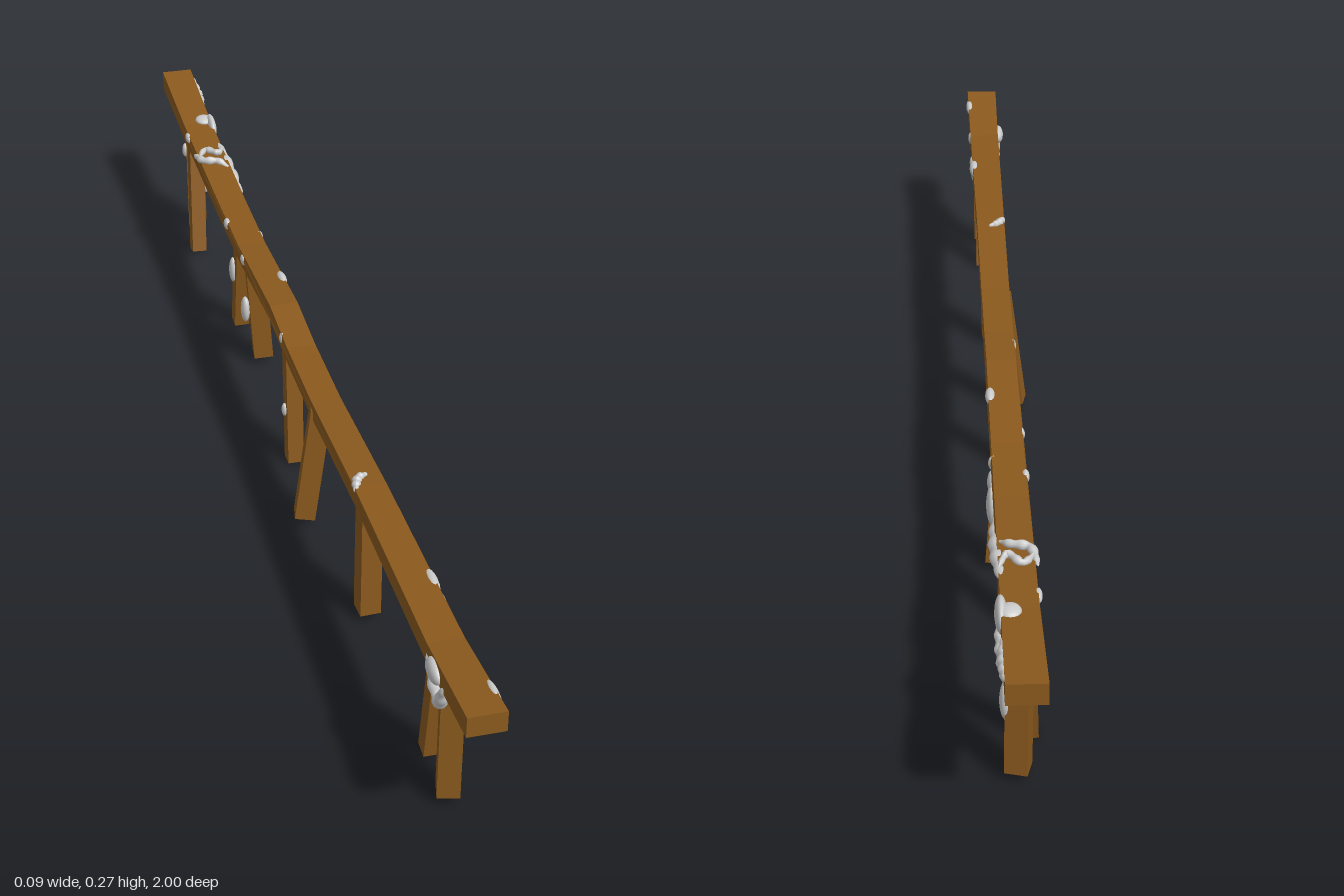
import * as THREE from 'three';

const V = (a) => new THREE.Vector3(...a);
const wood = new THREE.MeshStandardMaterial({ color: 0x8b5a1e, flatShading: true });
const grey = new THREE.MeshStandardMaterial({ color: 0xcccccc });

// Long sagging beam: side profile extruded across x, slightly narrower mid-span
function makeBeam() {
  const top = [[1, 0.27], [0.82, 0.25], [0.44, 0.246], [0.18, 0.233], [0.02, 0.236], [-0.1, 0.247],
    [-0.34, 0.233], [-0.5, 0.236], [-0.8, 0.249], [-1, 0.27]];
  const low = top.map(([z, y]) => [z, y - 0.028 - 0.005 * z * z]).reverse();
  const shape = new THREE.Shape([...top, ...low].map(([z, y]) => new THREE.Vector2(z, y)));
  const geo = new THREE.ExtrudeGeometry(shape, { depth: 0.056, bevelEnabled: false });
  geo.rotateY(-Math.PI / 2).translate(0.036, 0, 0);
  const p = geo.attributes.position;
  for (let i = 0; i < p.count; i++) {
    const z = p.getZ(i);
    p.setX(i, 0.008 + (p.getX(i) - 0.008) * (0.85 + 0.15 * z * z));
  }
  geo.computeVertexNormals();
  const mesh = new THREE.Mesh(geo, wood);
  mesh.name = 'beam';
  return mesh;
}

// Square post from bottom to top point, turned about its own axis
function makePost(bottom, top, size, yaw) {
  const a = V(bottom), dir = V(top).sub(a), len = dir.length();
  const mesh = new THREE.Mesh(new THREE.BoxGeometry(size, len, size), wood);
  mesh.position.copy(a).addScaledVector(dir, 0.5);
  mesh.quaternion.setFromUnitVectors(new THREE.Vector3(0, 1, 0), dir.normalize());
  mesh.rotateY(yaw);
  mesh.name = 'post';
  return mesh;
}

// Smooth lump of snow
function makeBlob([x, y, z, rx, ry, rz]) {
  const mesh = new THREE.Mesh(new THREE.SphereGeometry(1, 16, 12), grey);
  mesh.position.set(x, y, z);
  mesh.scale.set(rx, ry, rz);
  mesh.name = 'snowLump';
  return mesh;
}

// Snow streak: a tube whose radius swells in the middle and closes at both ends
function makeStreak(points, radius) {
  const curve = new THREE.CatmullRomCurve3(points.map(V));
  const n = 28, m = 10;
  const geo = new THREE.TubeGeometry(curve, n, radius, m);
  const p = geo.attributes.position, v = new THREE.Vector3();
  for (let i = 0; i <= n; i++) {
    const c = curve.getPointAt(i / n);
    const f = Math.pow(Math.sin(Math.PI * i / n), 0.5) * (1 + 0.15 * Math.sin(i * 1.1));
    for (let j = 0; j <= m; j++) {
      const k = i * (m + 1) + j;
      v.fromBufferAttribute(p, k).sub(c).multiplyScalar(f).add(c);
      p.setXYZ(k, v.x, v.y, v.z);
    }
  }
  geo.computeVertexNormals();
  const mesh = new THREE.Mesh(geo, grey);
  mesh.name = 'snowStreak';
  return mesh;
}

export function createModel() {
  const model = new THREE.Group();
  model.name = 'beamOnPosts';
  model.add(makeBeam());

  // Posts: [bottom, top, size, yaw]
  const posts = new THREE.Group();
  posts.name = 'posts';
  [
    [[0.008, 0.014, 0.858], [0.008, 0.235, 0.858], 0.033, -0.25],
    [[0.013, 0.003, 0.757], [0.013, 0.23, 0.793], 0.027, 0],
    [[0.008, 0.014, 0.44], [0.008, 0.23, 0.44], 0.033, 0.05],
    [[-0.026, 0.016, 0.18], [0.0, 0.22, 0.18], 0.033, -0.2],
    [[0.001, 0.003, 0.003], [0.001, 0.225, -0.016], 0.027, 0],
    [[0.023, 0.015, -0.323], [0.008, 0.22, -0.323], 0.034, -0.12],
    [[0.013, 0.003, -0.463], [0.013, 0.22, -0.43], 0.027, 0],
    [[-0.007, 0.003, -0.748], [0.001, 0.235, -0.793], 0.027, 0],
    [[0.012, 0.014, -0.843], [0.01, 0.235, -0.843], 0.033, -0.25],
  ].forEach((a) => posts.add(makePost(...a)));
  model.add(posts);

  // Snow lumps: x, y, z, then radii
  const snow = new THREE.Group();
  snow.name = 'snow';
  [
    [0.033, 0.257, 0.95, 0.007, 0.009, 0.03],
    [0.033, 0.238, 0.835, 0.006, 0.012, 0.012],
    [0.026, 0.165, 0.842, 0.008, 0.026, 0.01],
    [0.032, 0.236, 0.72, 0.007, 0.01, 0.022],
    [0.031, 0.24, 0.68, 0.009, 0.011, 0.03],
    [0.029, 0.236, -0.2, 0.008, 0.01, 0.022],
    [0.03, 0.222, -0.38, 0.008, 0.012, 0.01],
    [0.03, 0.155, -0.325, 0.008, 0.02, 0.014],
    [0.031, 0.12, -0.335, 0.009, 0.034, 0.018],
    [0.034, 0.238, -0.8, 0.009, 0.024, 0.032],
    [0.022, 0.25, -0.81, 0.016, 0.008, 0.018],
    [0.03, 0.13, -0.845, 0.008, 0.03, 0.013],
    [0.027, 0.095, -0.83, 0.005, 0.012, 0.008],
    [-0.02, 0.235, 0.86, 0.01, 0.016, 0.025],
    [-0.008, 0.11, -0.325, 0.008, 0.025, 0.013],
    [-0.002, 0.12, -0.452, 0.007, 0.025, 0.011],
    [-0.008, 0.17, -0.85, 0.006, 0.014, 0.008],
    [-0.014, 0.1, -0.005, 0.005, 0.012, 0.007],
    [-0.016, 0.228, -0.43, 0.006, 0.01, 0.012],
    [-0.015, 0.225, -0.3, 0.006, 0.009, 0.014],
    [-0.014, 0.23, -0.02, 0.005, 0.01, 0.009],
    [-0.018, 0.24, -0.76, 0.006, 0.008, 0.016],
  ].forEach((b) => snow.add(makeBlob(b)));

  // Snow streaks: path, radius
  [
    [[[0.03, 0.215, -0.51], [0.033, 0.222, -0.58], [0.033, 0.233, -0.66], [0.03, 0.243, -0.73]], 0.011],
    [[[0.033, 0.236, -0.62], [0.015, 0.246, -0.64], [-0.012, 0.246, -0.65], [-0.022, 0.24, -0.69]], 0.007],
    [[[-0.02, 0.245, -0.66], [0.0, 0.247, -0.69], [0.02, 0.249, -0.67], [0.034, 0.246, -0.7]], 0.006],
    [[[0.034, 0.25, -0.87], [0.035, 0.252, -0.93], [0.034, 0.262, -0.985]], 0.008],
    [[[0.036, 0.235, -0.8], [0.033, 0.2, -0.825], [0.029, 0.15, -0.84]], 0.01],
    [[[-0.02, 0.235, 0.9], [-0.012, 0.185, 0.862], [-0.018, 0.235, 0.82]], 0.01],
    [[[0.012, 0.245, 0.41], [-0.005, 0.246, 0.42], [-0.016, 0.241, 0.45]], 0.007],
  ].forEach((s) => snow.add(makeStreak(...s)));
  model.add(snow);

  return model;
}
